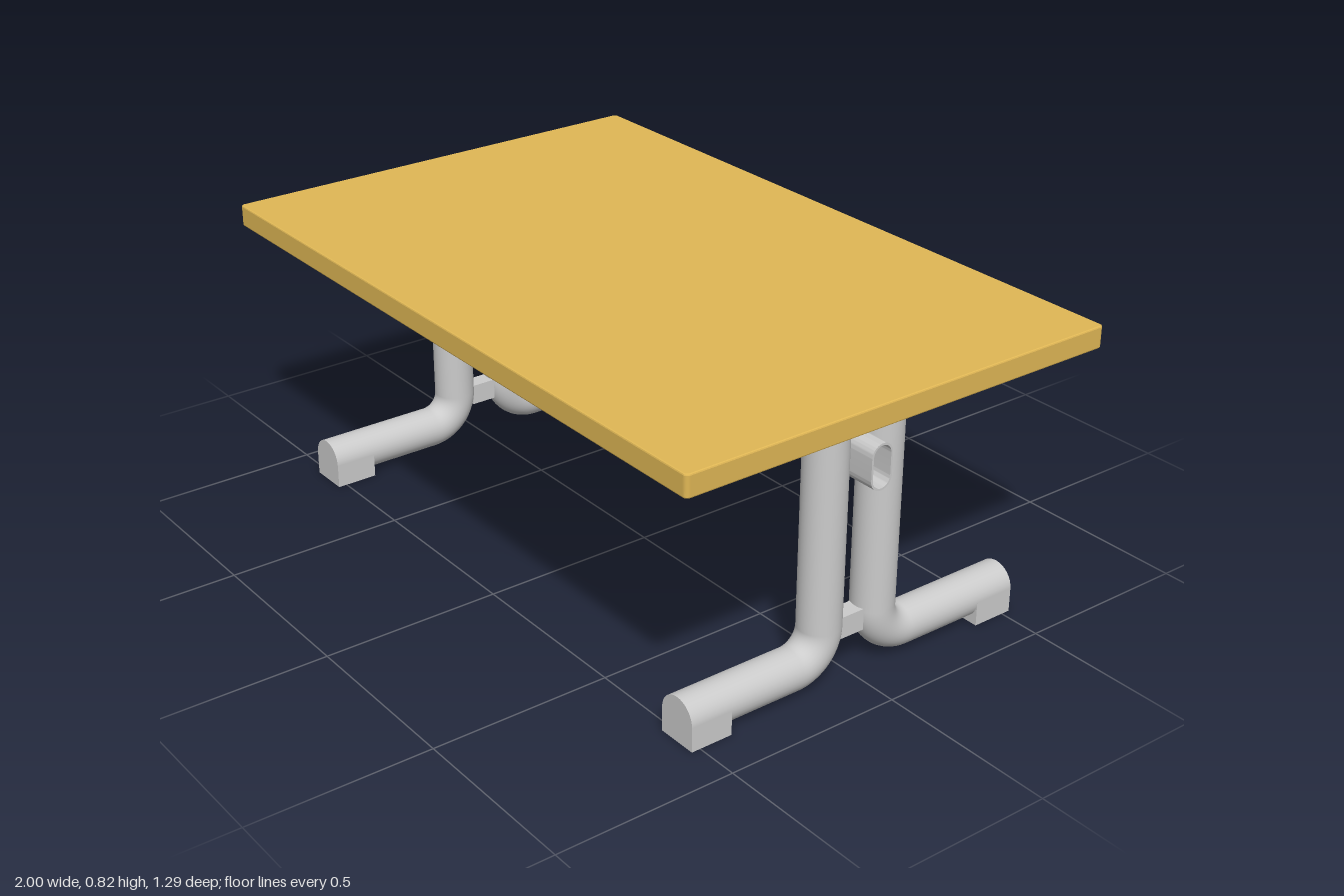
import * as THREE from 'three';
import { toCreasedNormals } from 'three/addons/utils/BufferGeometryUtils.js';

const metal = new THREE.MeshStandardMaterial({ color: 0xcccccc });
const wood = new THREE.MeshStandardMaterial({ color: 0xe0b755 });

function part(name, geometry, material = metal) {
  const mesh = new THREE.Mesh(geometry, material);
  mesh.name = name;
  return mesh;
}

// Rounded rectangle path centred on the origin
function roundRect(path, w, h, r) {
  const x = w / 2 - r, y = h / 2 - r;
  path.absarc(x, y, r, 0, Math.PI / 2);
  path.absarc(-x, y, r, Math.PI / 2, Math.PI);
  path.absarc(-x, -y, r, Math.PI, Math.PI * 1.5);
  path.absarc(x, -y, r, Math.PI * 1.5, Math.PI * 2);
  path.closePath();
  return path;
}

// Extrude a profile drawn in the z-y plane along x, centred on x = 0
function extrudeAlongX(shape, length) {
  const g = new THREE.ExtrudeGeometry(shape, { depth: length, bevelEnabled: false, curveSegments: 10 });
  return g.translate(0, 0, -length / 2).rotateY(Math.PI / 2);
}

const TUBE = 0.0575, BEND = 0.0925, LEG_Z = 0.0875;
const BEND_Z = LEG_Z + BEND, FLOOR_Y = 0.0675, BEND_Y = FLOOR_Y + BEND;
const LEG_TOP = 0.715, FOOT_END = 0.525, FOOT_START = 0.405;

// One bent tube leg whose foot points to +z
function createLeg() {
  const leg = new THREE.Group();
  leg.name = 'leg';

  const h = LEG_TOP - BEND_Y;
  leg.add(part('upright', new THREE.CylinderGeometry(TUBE, TUBE, h, 32)
    .translate(0, BEND_Y + h / 2, LEG_Z)));

  leg.add(part('bend', new THREE.TorusGeometry(BEND, TUBE, 32, 14, Math.PI / 2)
    .rotateZ(Math.PI).rotateY(-Math.PI / 2).translate(0, BEND_Y, BEND_Z)));

  const l = FOOT_END - BEND_Z;
  leg.add(part('footTube', new THREE.CylinderGeometry(TUBE, TUBE, l, 32)
    .rotateX(Math.PI / 2).translate(0, FLOOR_Y, BEND_Z + l / 2)));

  // Square glide block under the end of the foot
  leg.add(part('footPad', new THREE.BoxGeometry(TUBE * 2, FLOOR_Y, FOOT_END - FOOT_START)
    .translate(0, FLOOR_Y / 2, (FOOT_END + FOOT_START) / 2)));
  return leg;
}

// Two back-to-back legs, the tie between them and the bracket on top
function createTrestle() {
  const trestle = new THREE.Group();
  trestle.name = 'trestle';
  const front = createLeg(), back = createLeg();
  front.name = 'frontLeg';
  back.name = 'backLeg';
  back.rotation.y = Math.PI;
  trestle.add(front, back);

  trestle.add(part('legTie', new THREE.BoxGeometry(0.05, 0.06, 0.075).translate(0, 0.14, 0)));

  const profile = new THREE.Shape([
    [-0.205, 0.71], [0.205, 0.71], [0.305, 0.75], [0.305, 0.766], [-0.305, 0.766], [-0.305, 0.75],
  ].map(([z, y]) => new THREE.Vector2(z, y)));
  trestle.add(part('topBracket', extrudeAlongX(profile, 0.145)));
  return trestle;
}

export function createModel() {
  const table = new THREE.Group();
  table.name = 'table';

  // Table top with slightly softened edges
  const bevel = 0.004;
  const topShape = roundRect(new THREE.Shape(), 2 - 2 * bevel, 1.29 - 2 * bevel, 0.008);
  const top = new THREE.ExtrudeGeometry(topShape, {
    depth: 0.06 - 2 * bevel, bevelSize: bevel, bevelThickness: bevel, bevelSegments: 2, curveSegments: 4,
  });
  table.add(part('tableTop', top.rotateX(-Math.PI / 2).translate(0, 0.765 + bevel, 0), wood));

  for (const side of [-1, 1]) {
    const trestle = createTrestle();
    trestle.name = side > 0 ? 'leftTrestle' : 'rightTrestle';
    trestle.position.x = side * 0.822;
    table.add(trestle);
  }

  // Hollow oval beam passing between the legs
  const oval = roundRect(new THREE.Shape(), 0.066, 0.125, 0.033);
  oval.holes.push(roundRect(new THREE.Path(), 0.055, 0.114, 0.0275));
  table.add(part('crossBeam', toCreasedNormals(extrudeAlongX(oval, 1.845), 0.6).translate(0, 0.608, 0)));

  return table;
}
